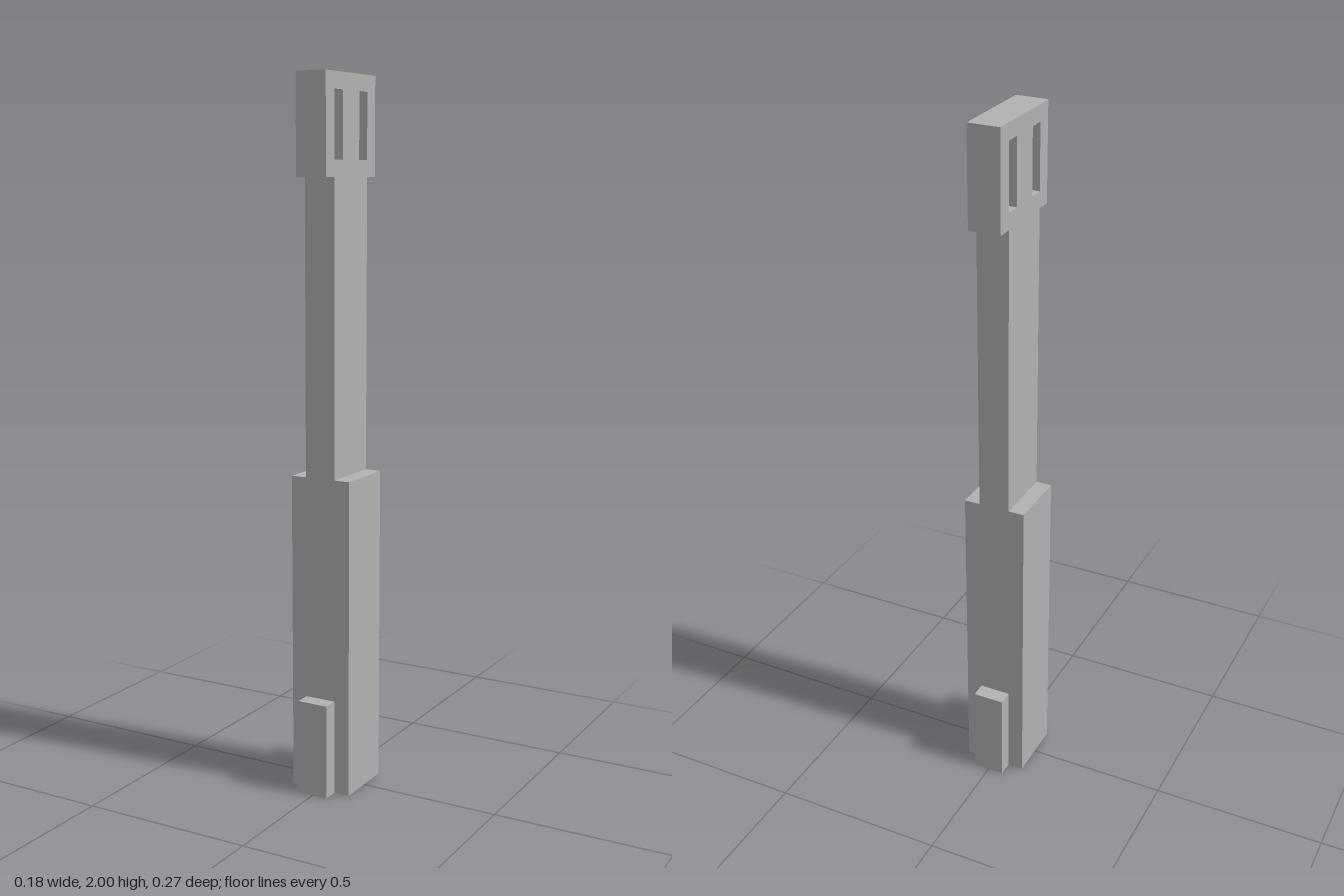
import * as THREE from 'three';

// All sizes are multiples of one unit: the model is 22 units tall.
const U = 2 / 22;

export function createModel() {
  const model = new THREE.Group();
  model.name = 'slottedTool';
  const grey = new THREE.MeshStandardMaterial({ color: 0xb2b2b2 });
  grey.name = 'grey';

  const add = (name, geometry, x = 0, y = 0, z = 0) => {
    const mesh = new THREE.Mesh(geometry, grey);
    mesh.name = name;
    mesh.position.set(x * U, y * U, z * U);
    model.add(mesh);
  };
  const points = (list) => list.map(([a, b]) => new THREE.Vector2(a * U, b * U));

  // Thick square handle
  add('handle', new THREE.BoxGeometry(2 * U, 10 * U, 2 * U), 0, 5, 0);

  // Low tabs on the front and back of the handle
  for (const side of [1, -1]) {
    add(side > 0 ? 'frontTab' : 'backTab',
      new THREE.BoxGeometry(U, 3 * U, 0.5 * U), 0, 1.5, side * 1.25);
  }

  // Thin shaft and wider head, cut as one plate with two slots through it
  const plate = new THREE.Shape(points([
    [-1, 10], [1, 10], [1, 19], [1.5, 19], [1.5, 22], [-1.5, 22], [-1.5, 19], [-1, 19],
  ]));
  for (const side of [1, -1]) {
    const a = side * 0.5, b = side * 1;
    plate.holes.push(new THREE.Path(points([[a, 19.5], [b, 19.5], [b, 21.5], [a, 21.5]])));
  }
  const plateGeometry = new THREE.ExtrudeGeometry(plate, { depth: U, bevelEnabled: false });
  plateGeometry.translate(0, 0, -U / 2).rotateY(Math.PI / 2);
  add('shaftAndSlottedHead', plateGeometry);

  return model;
}
